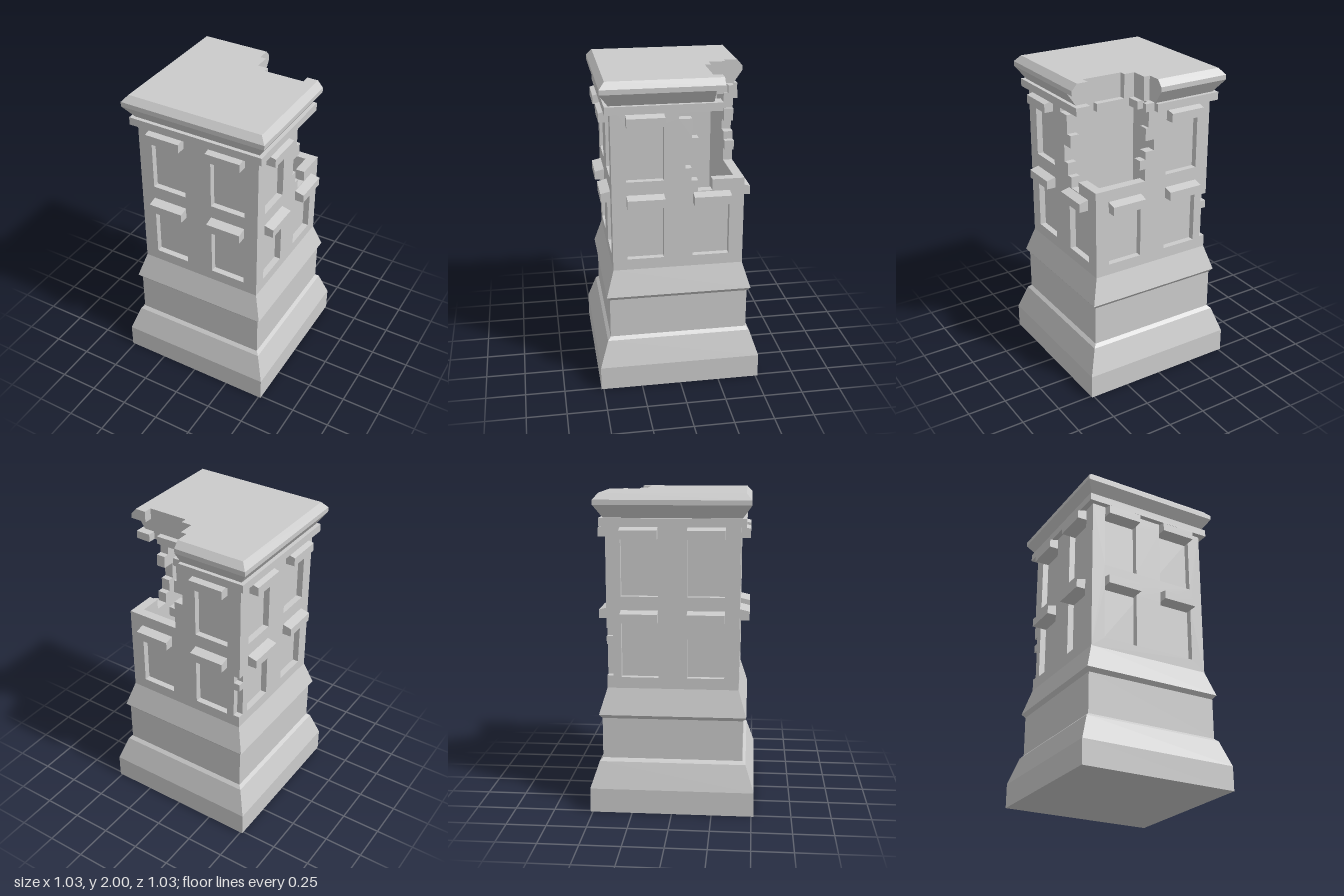
import * as THREE from 'three';

const material = new THREE.MeshStandardMaterial({ color: 0xcccccc, flatShading: true });

function polygon(points) {
  return new THREE.Shape(points.map(([x, y]) => new THREE.Vector2(x, y)));
}

function extrude(shape, depth) {
  return new THREE.ExtrudeGeometry(shape, { depth, bevelEnabled: false });
}

function addMesh(parent, name, geometry) {
  const mesh = new THREE.Mesh(geometry, material);
  mesh.name = name;
  parent.add(mesh);
  return mesh;
}

// Square tier from y0 to y1 whose half width runs from h0 to h1.
// Plan coordinates of +-1 lie on the sloping outside; all others stay put.
function tier(y0, y1, h0, h1, broken = [[1, -1]]) {
  const plan = [[-1, 1], [1, 1], ...broken, [-1, -1]];
  const geometry = extrude(polygon(plan.map(([x, z]) => [x, -z])), 1);
  geometry.rotateX(-Math.PI / 2);
  const p = geometry.attributes.position;
  for (let i = 0; i < p.count; i++) {
    const t = p.getY(i);
    const h = h0 + (h1 - h0) * t;
    const fit = (c) => (Math.abs(c) > 0.99 ? Math.sign(c) * h : c);
    p.setXYZ(i, fit(p.getX(i)), y0 + (y1 - y0) * t, fit(p.getZ(i)));
  }
  geometry.computeVertexNormals();
  return geometry;
}

// Lintel with a slightly sloping top, starting inside the wall
function lintel(u, y) {
  const profile = [[0.38, y], [0.47, y], [0.47, y + 0.055], [0.41, y + 0.07], [0.38, y + 0.07]];
  const geometry = extrude(polygon(profile), 0.23);
  geometry.rotateY(-Math.PI / 2);
  geometry.translate(u + 0.115, 0, 0);
  return geometry;
}

// One wall: pierced outer layer, plain backing as panes, and lintels
function wall(name, angle, outline, windows, halfWidth) {
  const group = new THREE.Group();
  group.name = name;
  group.rotation.y = angle;
  const facing = polygon(outline);
  for (const [u, y0, y1] of windows) {
    const hole = [[u - 0.115, y0], [u - 0.115, y1], [u + 0.115, y1], [u + 0.115, y0]];
    facing.holes.push(new THREE.Path(hole.map(([a, b]) => new THREE.Vector2(a, b))));
    addMesh(group, 'lintel', lintel(u, y1));
  }
  addMesh(group, 'wallFace', extrude(facing, 0.04)).position.z = 0.37;
  const inner = outline
    .map(([u, y]) => [THREE.MathUtils.clamp(u, -halfWidth, halfWidth), y])
    .filter(([u, y], i, a) => i === 0 || u !== a[i - 1][0] || y !== a[i - 1][1]);
  addMesh(group, 'windowPanes', extrude(polygon(inner), 0.02)).position.z = 0.35;
  return group;
}

export function createModel() {
  const model = new THREE.Group();
  model.name = 'ruinedTower';

  // Stepped plinth
  const plinth = [
    [0, 0.155, 0.515, 0.515], [0.155, 0.32, 0.515, 0.46], [0.32, 0.34, 0.46, 0.44],
    [0.34, 0.6, 0.44, 0.44], [0.6, 0.625, 0.44, 0.46], [0.625, 0.79, 0.46, 0.41],
  ];
  plinth.forEach((t) => addMesh(model, 'plinth', tier(...t)));

  // Walls, given as outlines seen from outside
  const rect = (w) => [[-w, 0.79], [w, 0.79], [w, 1.8], [-w, 1.8]];
  const lower = (u) => [u, 0.86, 1.215];
  const upper = (u) => [u, 1.37, 1.725];
  const a = 0.205;
  const all = [lower(-a), lower(a), upper(-a), upper(a)];

  // Left wall of the model, broken away towards the back
  const brokenSide = [
    [-0.37, 0.79], [0.37, 0.79], [0.37, 1.36], [0.21, 1.36], [0.21, 1.29], [0.12, 1.29],
    [0.12, 1.36], [0.08, 1.36], [0.08, 1.44], [0.04, 1.44], [0.04, 1.55], [0.12, 1.55],
    [0.12, 1.63], [0.08, 1.63], [0.08, 1.75], [0, 1.75], [0, 1.8], [-0.37, 1.8],
  ];
  // Back wall, missing an upper quarter and chipped along the far corner
  const brokenBack = [
    [-0.41, 0.79], [0.41, 0.79], [0.41, 0.87], [0.37, 0.87], [0.37, 1.07], [0.41, 1.07],
    [0.41, 1.12], [0.37, 1.12], [0.37, 1.17], [0.41, 1.17], [0.41, 1.8],
    [-0.04, 1.8], [-0.04, 1.7], [-0.06, 1.7], [-0.06, 1.62], [0, 1.62], [0, 1.55],
    [-0.06, 1.55], [-0.06, 1.5], [-0.1, 1.5], [-0.1, 1.44], [-0.06, 1.44],
    [-0.06, 1.36], [-0.41, 1.36],
  ];
  model.add(
    wall('frontWall', 0, rect(0.41), all, 0.37),
    wall('rightWall', -Math.PI / 2, rect(0.37), all, 0.35),
    wall('leftWall', Math.PI / 2, brokenSide, [lower(-a), lower(a), upper(-a)], 0.35),
    wall('backWall', Math.PI, brokenBack, [lower(-a), lower(a), upper(a)], 0.37),
  );

  // Cornice and roof with the back left corner broken out
  const ledgeBreak = [
    [1, -0.26], [0.35, -0.26], [0.35, -0.21], [0.3, -0.21], [0.3, -0.25], [0.075, -0.25],
    [0.075, -0.34], [0.03, -0.34], [0.03, -0.375], [0.06, -0.375], [0.06, -0.41],
    [0, -0.41], [0, -1],
  ];
  const flareBreak = [
    [1, -0.21], [0.11, -0.21], [0.11, -0.25], [0.04, -0.25], [0.04, -0.355], [0, -0.355], [0, -1],
  ];
  const roofBreak = [[1, -0.265], [0.37, -0.265], [0.37, -0.21], ...flareBreak.slice(1)];
  addMesh(model, 'corniceLedge', tier(1.8, 1.85, 0.445, 0.445, ledgeBreak));
  addMesh(model, 'corniceFlare', tier(1.85, 1.93, 0.42, 0.475, flareBreak));
  addMesh(model, 'corniceEdge', tier(1.93, 1.96, 0.475, 0.475, roofBreak));
  addMesh(model, 'roof', tier(1.96, 2, 0.475, 0.44, roofBreak));

  return model;
}
